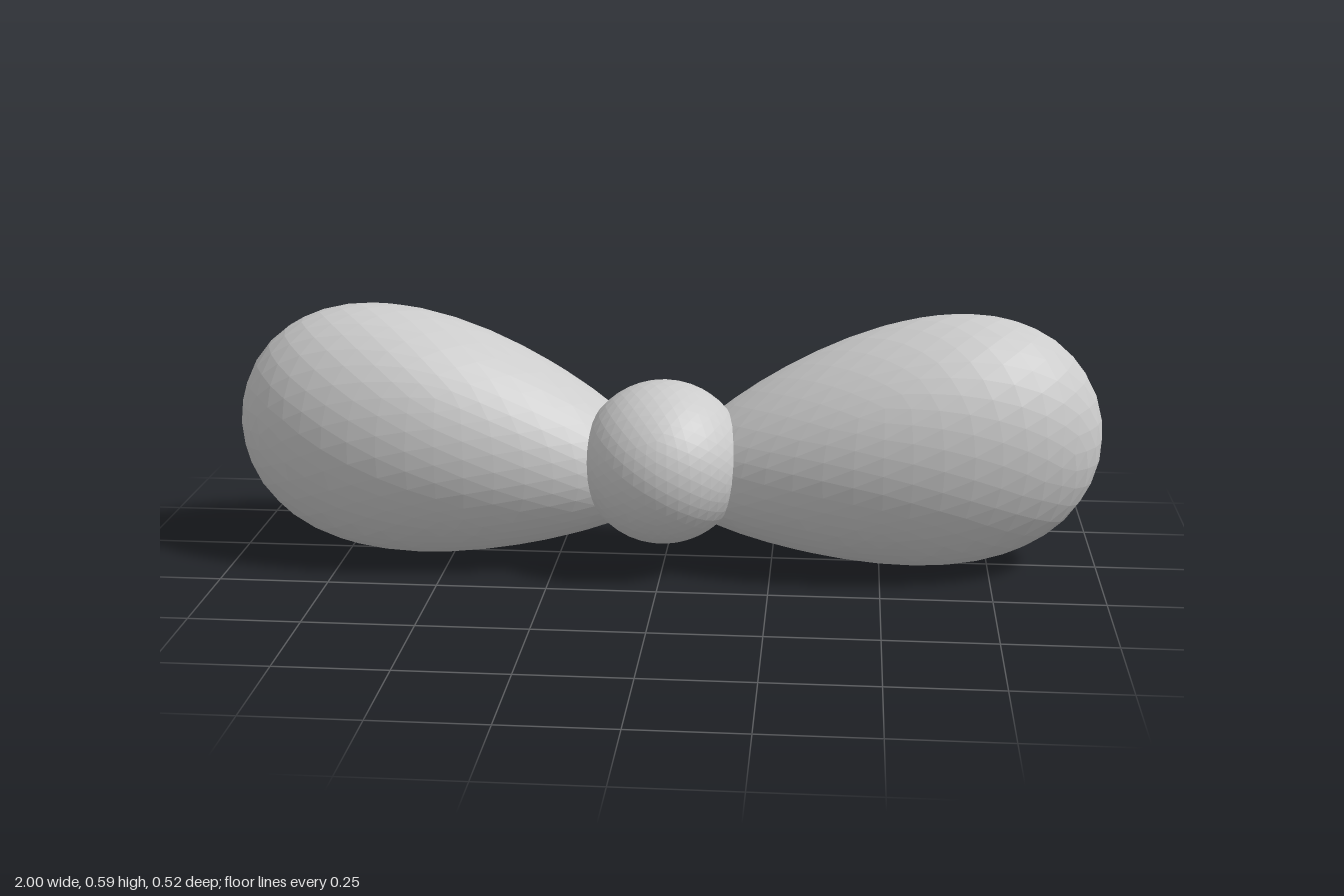
import * as THREE from 'three';

const material = new THREE.MeshStandardMaterial({ color: 0xcccccc, flatShading: true });

// Icosphere whose unit points are moved by a rule
function shapedSphere(name, rule) {
  const geometry = new THREE.IcosahedronGeometry(1, 7);
  const pos = geometry.attributes.position;
  const p = new THREE.Vector3();
  for (let i = 0; i < pos.count; i++) {
    p.fromBufferAttribute(pos, i);
    pos.setXYZ(i, ...rule(p));
  }
  geometry.computeVertexNormals();
  const mesh = new THREE.Mesh(geometry, material);
  mesh.name = name;
  return mesh;
}

// Puffy bow loop: swells and rises from the knot towards its outer end
function bowLoop(name, side) {
  return shapedSphere(name, (p) => {
    const u = side * p.x; // -1 at the knot, 1 at the outer end
    const centreY = 0.281 + 0.06 * u - 0.03 * u * u;
    return [
      side * 0.5 + 0.5 * p.x,
      centreY + p.y * (0.277 + 0.097 * u),
      -0.012 + p.z * (0.25 + 0.022 * u),
    ];
  });
}

export function createModel() {
  const bow = new THREE.Group();
  bow.name = 'bow';
  bow.add(bowLoop('leftLoop', 1), bowLoop('rightLoop', -1));

  // Round knot, set slightly forward
  bow.add(shapedSphere('knot', (p) => [0.19 * p.x, 0.25 + 0.188 * p.y, 0.06 + 0.202 * p.z]));
  return bow;
}
